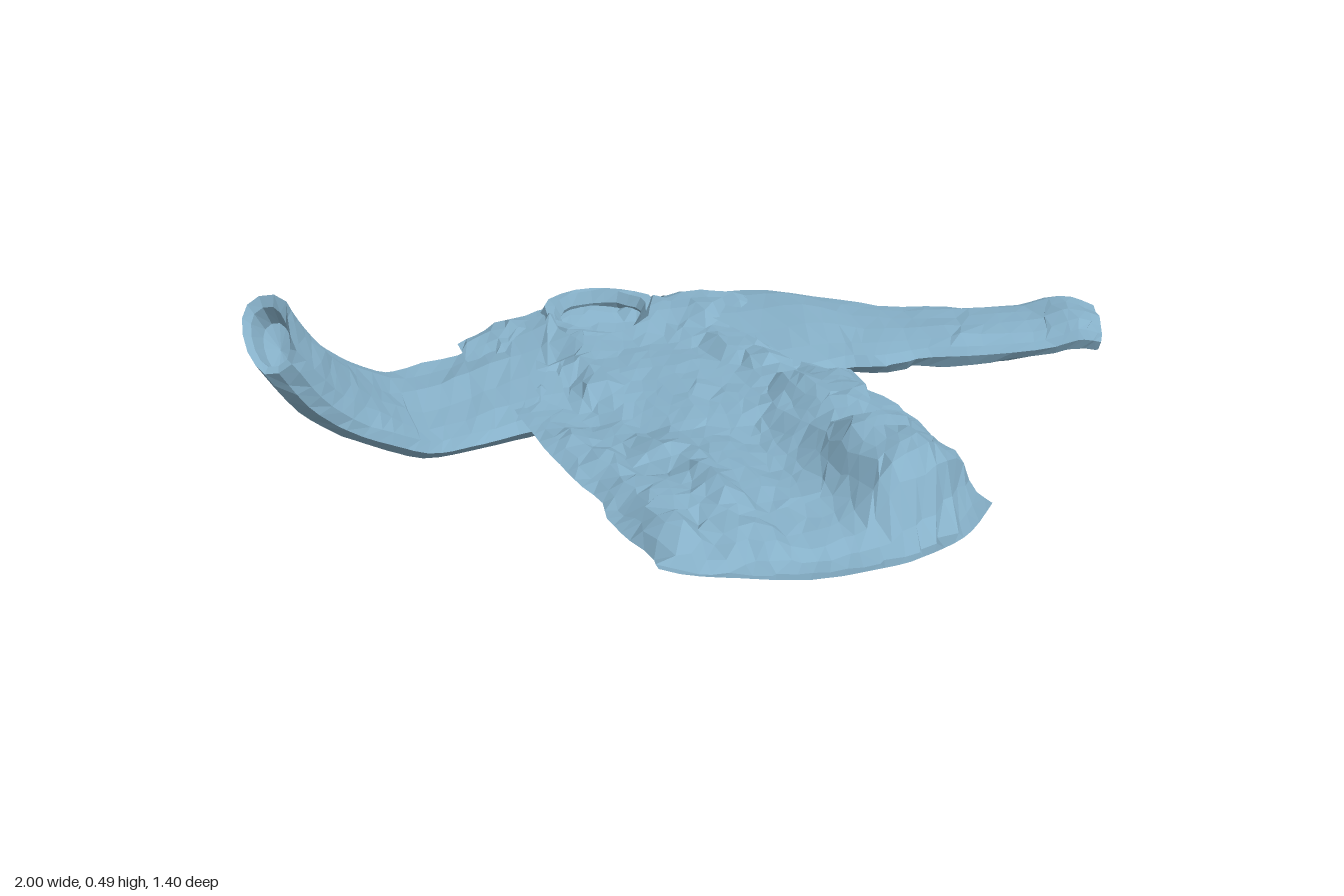
import * as THREE from 'three';

const { lerp, smoothstep } = THREE.MathUtils;
const cloth = new THREE.MeshStandardMaterial({ color: 0x86b0c8, flatShading: true, side: THREE.DoubleSide });

// repeatable hash and smooth 2D noise, both 0..1
function hash(i, j) {
  const s = Math.sin(i * 127.1 + j * 311.7) * 43758.5453;
  return s - Math.floor(s);
}
function noise(x, z) {
  const i = Math.floor(x), j = Math.floor(z);
  const fx = smoothstep(x - i, 0, 1), fz = smoothstep(z - j, 0, 1);
  return lerp(lerp(hash(i, j), hash(i + 1, j), fx), lerp(hash(i, j + 1), hash(i + 1, j + 1), fx), fz);
}
// long folds running down the cloth plus small creases
const crumple = (x, z) => (noise(x * 11 + 7, z * 4 + 3) - 0.5) * 0.06 + (noise(x * 22, z * 15) - 0.5) * 0.035;
// flat-topped swelling
const bump = (x, z, cx, cz, rx, rz) => Math.exp(-(((x - cx) / rx) ** 4) - ((z - cz) / rz) ** 4);

function makeMesh(name, positions, index) {
  const geometry = new THREE.BufferGeometry();
  geometry.setAttribute('position', new THREE.Float32BufferAttribute(positions, 3));
  geometry.setIndex(index);
  geometry.computeVertexNormals();
  const mesh = new THREE.Mesh(geometry, cloth);
  mesh.name = name;
  return mesh;
}

// piecewise-linear lookup in [z, value] pairs
function profile(pairs, z) {
  for (let k = 1; k < pairs.length; k++) {
    const [a, b] = [pairs[k - 1], pairs[k]];
    if (z <= b[0]) return lerp(a[1], b[1], THREE.MathUtils.clamp((z - a[0]) / (b[0] - a[0]), 0, 1));
  }
  return pairs[pairs.length - 1][1];
}
const backY = [[-0.7, 0.08], [-0.6, 0.05], [-0.45, 0.035], [0, 0.028], [0.2, 0.015], [0.45, 0.005], [0.6, 0.025], [0.7, 0.055]];
const frontY = [[-0.7, 0.11], [-0.6, 0.115], [-0.4, 0.1], [-0.1, 0.105], [0.2, 0.108], [0.5, 0.108], [0.7, 0.095]];
const neck = { x: -0.03, z: -0.585, r: 0.105 };

const panelBack = (x, z) => Math.max(0, profile(backY, z) + 0.3 * (x - 0.08) ** 2 + crumple(x + 5, z) * 0.15);

function panelFront(x, z) {
  let y = profile(frontY, z) + crumple(x, z) * (0.4 + 0.6 * smoothstep(Math.abs(x + 0.02), 0.06, 0.2));
  y += 0.075 * bump(x, z, 0.21, 0.4, 0.12, 0.17) + 0.04 * bump(x, z, -0.27, 0.45, 0.12, 0.18);
  y += 0.025 * bump(x, z, -0.28, 0.06, 0.12, 0.18) + 0.025 * bump(x, z, 0.25, 0.06, 0.1, 0.16);
  // sunken placket strip down the middle
  return y - 0.015 * smoothstep(z, 0, 0.05) * (1 - smoothstep(Math.abs(x + 0.03), 0.09, 0.12));
}

// torso: front and back panels sharing the same outline
function makePanel(name, isFront) {
  const nx = 24, nz = 32, positions = [], index = [];
  for (let j = 0; j <= nz; j++) {
    for (let i = 0; i <= nx; i++) {
      const u = (i / nx) * 2 - 1, v = j / nz;
      const inside = i > 0 && i < nx && j > 0 && j < nz;
      let x = -0.025 + u * (0.382 + 0.03 * (noise(v * 14, u < 0 ? 91 : 57) - 0.5) * Math.abs(u));
      const shoulder = -0.69 + 1.2 * (x + 0.03) ** 2;
      const hem = 0.7 - 0.17 * (Math.abs(x + 0.07) / 0.4) ** 2.2;
      let z = lerp(shoulder, hem, v);
      if (inside) {
        x += (hash(i, j) - 0.5) * 0.022;
        z += (hash(i + 50, j) - 0.5) * 0.028;
      }
      const low = panelBack(x, z), high = Math.max(low + 0.03, panelFront(x, z));
      // panels close together at the sides, shoulders and hem
      const edge = Math.max(Math.abs(u) ** 10, smoothstep(1 - v, 0.95, 1), smoothstep(v, 0.88, 0.98));
      const seam = lerp(low, high, lerp(0.4, 0.08, smoothstep(v, 0.85, 0.95)));
      let y = lerp(isFront ? high : low, seam, edge);
      // neck opening drops to the inside of the back panel
      if (isFront && Math.hypot(x - neck.x, z - neck.z) < neck.r) y = low + 0.02;
      positions.push(x, y, z);
    }
  }
  for (let j = 0; j < nz; j++) {
    for (let i = 0; i < nx; i++) {
      const a = j * (nx + 1) + i, b = a + 1, c = a + nx + 1, e = c + 1;
      if (isFront) index.push(a, c, b, b, c, e);
      else index.push(a, b, c, b, e, c);
    }
  }
  return makeMesh(name, positions, index);
}

// sleeve: flattened tube between a back edge and a front edge, each row [back, front, thickness]
function makeSleeve(name, rows, wrinkle) {
  const back = new THREE.CatmullRomCurve3(rows.map(r => new THREE.Vector3(...r[0])));
  const front = new THREE.CatmullRomCurve3(rows.map(r => new THREE.Vector3(...r[1])));
  const steps = 22, segs = 14, positions = [], index = [];
  // [position along the sleeve, scale]; the last rings turn back into the cuff
  const rings = Array.from({ length: steps + 1 }, (_, k) => [k / steps, 1]);
  rings.push([0.99, 0.75], [0.94, 0.6], [0.93, 0.02]);
  rings.forEach(([t, scale], k) => {
    const b = back.getPoint(t), f = front.getPoint(t);
    const along = back.getTangent(t).add(front.getTangent(t)).normalize();
    const across = f.clone().sub(b).multiplyScalar(0.5);
    const normal = along.clone().cross(across).normalize();
    const slot = t * (rows.length - 1), m = Math.min(Math.floor(slot), rows.length - 2);
    const thick = lerp(rows[m][2], rows[m + 1][2], slot - m) / 2;
    for (let s = 0; s < segs; s++) {
      const a = (s / segs) * Math.PI * 2, c = Math.cos(a), h = Math.sin(a);
      const p = b.clone().add(f).multiplyScalar(0.5);
      p.addScaledVector(across, c * scale);
      p.addScaledVector(normal, Math.sign(h) * Math.abs(h) ** 0.75 * thick * scale);
      if (k <= steps) {
        // the upper side creases more than the side lying on the ground
        p.addScaledVector(normal, crumple(p.x * 0.7 + 3, p.z * 2 + h) * wrinkle * (h > 0 ? h : -0.4 * h));
        if (k < steps) p.addScaledVector(along, (hash(k, s + 20) - 0.5) * 0.025);
      }
      positions.push(p.x, p.y, p.z);
      if (k < rings.length - 1) {
        const n = (s + 1) % segs, q = k * segs;
        index.push(q + s, q + n, q + segs + s, q + n, q + segs + n, q + segs + s);
      }
    }
  });
  return makeMesh(name, positions, index);
}

// collar: crumpled band, standing behind the neck and sinking into the front panel
function makeCollar() {
  const geometry = new THREE.TorusGeometry(0.118, 0.024, 6, 22);
  geometry.rotateX(-Math.PI / 2);
  const pos = geometry.attributes.position;
  for (let i = 0; i < pos.count; i++) {
    const x = pos.getX(i), y = pos.getY(i), z = pos.getZ(i);
    const rear = smoothstep(-z, -0.08, 0.1);
    const wobble = 1 + (noise(x * 30 + 9, z * 30 + 4) - 0.5) * 0.14;
    pos.setXYZ(i, neck.x + x * wobble, 0.092 + 0.008 * rear + y * (0.7 + 0.5 * rear) + crumple(x, z) * 0.3, neck.z + z * 0.88 * wobble);
  }
  geometry.computeVertexNormals();
  const mesh = new THREE.Mesh(geometry, cloth);
  mesh.name = 'collar';
  return mesh;
}

export function createModel() {
  const group = new THREE.Group();
  group.name = 'crumpledJacket';
  group.add(makePanel('frontPanel', true), makePanel('backPanel', false), makeCollar());
  // right sleeve curls up off the ground
  group.add(makeSleeve('rightSleeve', [
    [[-0.15, 0.09, -0.66], [-0.3, 0.08, -0.12], 0.07],
    [[-0.3, 0.09, -0.58], [-0.4, 0.085, -0.11], 0.08],
    [[-0.47, 0.1, -0.49], [-0.5, 0.085, -0.1], 0.07],
    [[-0.6, 0.13, -0.42], [-0.62, 0.1, -0.07], 0.07],
    [[-0.7, 0.19, -0.36], [-0.7, 0.14, -0.05], 0.08],
    [[-0.8, 0.28, -0.29], [-0.8, 0.2, -0.025], 0.085],
    [[-0.89, 0.39, -0.19], [-0.89, 0.28, 0], 0.095],
    [[-0.95, 0.49, -0.105], [-0.955, 0.375, 0.015], 0.1],
  ], 0.4));
  // left sleeve lies flat
  group.add(makeSleeve('leftSleeve', [
    [[0.13, 0.09, -0.65], [0.25, 0.08, -0.13], 0.07],
    [[0.33, 0.095, -0.58], [0.37, 0.08, -0.13], 0.08],
    [[0.46, 0.09, -0.48], [0.43, 0.085, -0.1], 0.07],
    [[0.58, 0.085, -0.37], [0.53, 0.085, -0.1], 0.065],
    [[0.72, 0.085, -0.3], [0.65, 0.085, -0.06], 0.065],
    [[0.85, 0.09, -0.24], [0.8, 0.09, -0.02], 0.065],
    [[0.93, 0.1, -0.215], [0.87, 0.105, 0], 0.085],
    [[1, 0.085, -0.18], [0.915, 0.095, 0.01], 0.055],
  ], 0.8));
  return group;
}
